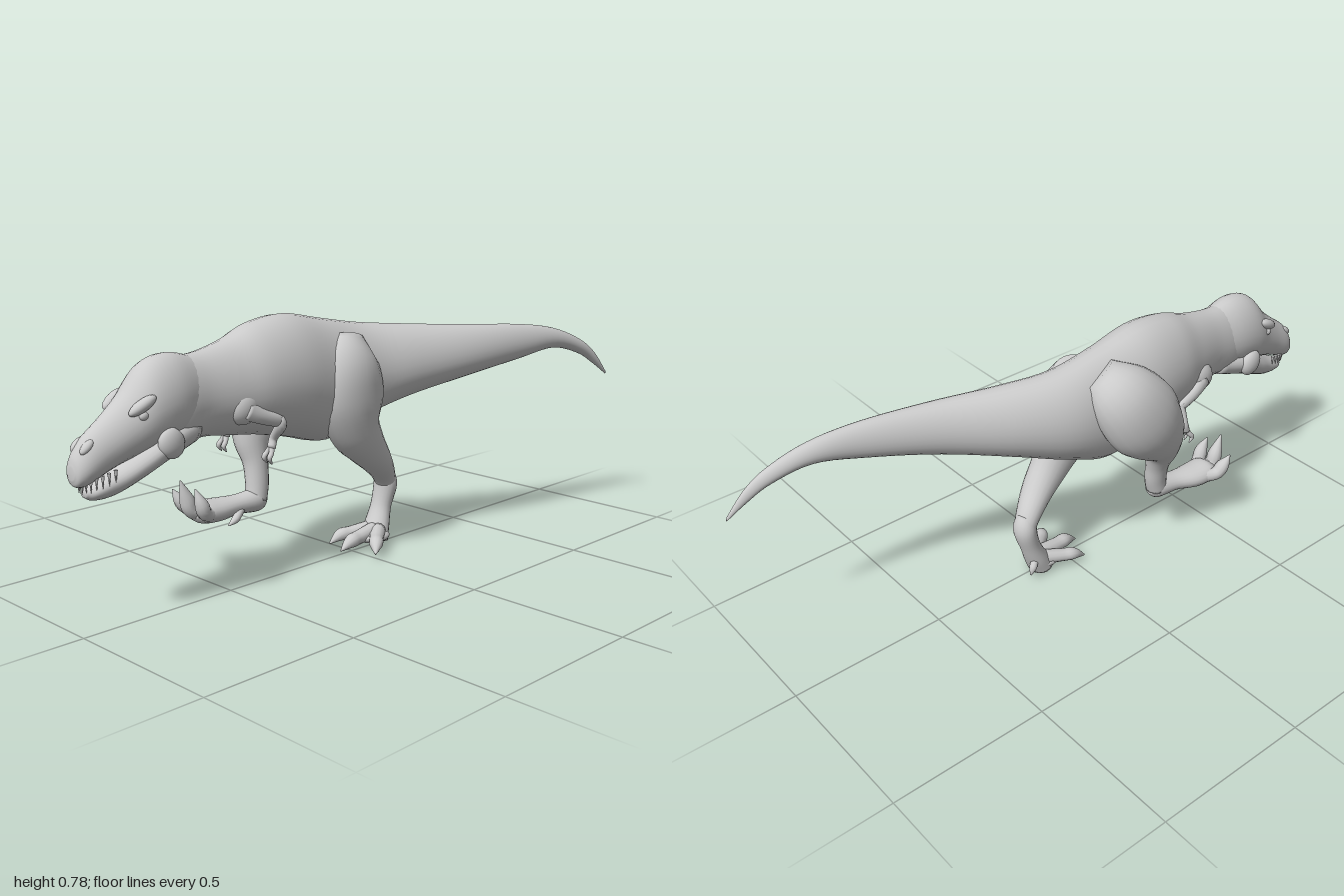
import * as THREE from 'three';

const V = (x, y, z) => new THREE.Vector3(x, y, z);
const material = new THREE.MeshStandardMaterial({ color: 0xcccccc, roughness: 0.8 });

// Smooth skin through oval sections [x, y, z, sideRadius, depthRadius].
// axis: fixed section normal (otherwise the path tangent); pear: widens the lower half.
function loft(rows, { steps = 5, sides = 20, axis = null, pear = 0 } = {}) {
  const centres = new THREE.CatmullRomCurve3(rows.map(r => V(r[0], r[1], r[2])), false, 'catmullrom');
  const radii = new THREE.CatmullRomCurve3(rows.map(r => V(r[3], r[4], 0)), false, 'catmullrom');
  const n = (rows.length - 1) * steps;
  const pos = [], index = [];
  for (let i = 0; i <= n; i++) {
    const c = centres.getPoint(i / n), r = radii.getPoint(i / n);
    const T = axis || centres.getTangent(i / n);
    const S = V(1, 0, 0).addScaledVector(T, -T.x).normalize();
    const U = T.clone().cross(S);
    for (let j = 0; j < sides; j++) {
      const a = (j / sides) * Math.PI * 2, s = Math.sin(a);
      const p = c.clone()
        .addScaledVector(S, Math.cos(a) * Math.max(r.x, 0.001) * (1 - pear * s))
        .addScaledVector(U, s * Math.max(r.y, 0.001));
      pos.push(p.x, p.y, p.z);
    }
  }
  for (let i = 0; i < n; i++) for (let j = 0; j < sides; j++) {
    const k = (j + 1) % sides, a = i * sides + j, b = i * sides + k;
    index.push(a, b, a + sides, b, b + sides, a + sides);
  }
  // end caps
  const first = centres.getPoint(0), last = centres.getPoint(1), m = pos.length / 3;
  pos.push(...first.toArray(), ...last.toArray());
  for (let j = 0; j < sides; j++) {
    const k = (j + 1) % sides;
    index.push(m, k, j, m + 1, n * sides + j, n * sides + k);
  }
  const g = new THREE.BufferGeometry();
  g.setAttribute('position', new THREE.Float32BufferAttribute(pos, 3));
  g.setIndex(index);
  g.computeVertexNormals();
  return g;
}

function add(parent, name, geometry) {
  const mesh = new THREE.Mesh(geometry, material);
  mesh.name = name;
  parent.add(mesh);
  return mesh;
}

// Lengthwise form from rows [z, x, top, bottom, halfWidth]
const along = (rows, pear, sides = 28) => loft(
  rows.map(([z, x, top, bot, w]) => [x, (top + bot) / 2, z, w, (top - bot) / 2]),
  { axis: V(0, 0, 1), pear, sides });

function blob(parent, name, [x, y, z], [sx, sy, sz], [rx, ry, rz] = [0, 0, 0]) {
  const mesh = add(parent, name, new THREE.SphereGeometry(1, 16, 12));
  mesh.position.set(x, y, z);
  mesh.scale.set(sx, sy, sz);
  mesh.rotation.set(rx, ry, rz);
}

// Toe or finger: a fleshy digit from a to b through mid, ending in a claw at tip
function digit(parent, name, a, mid, b, tip, r) {
  add(parent, name, loft([[...a, r, r], [...mid, r * 0.9, r * 0.85], [...b, r * 0.85, r * 0.8],
    [...tip, 0.002, 0.002]], { sides: 12, steps: 5 }));
}

function buildHead(parent) {
  const head = new THREE.Group();
  head.name = 'head';
  parent.add(head);
  const cx = -0.02;
  add(head, 'skull', along([
    [0.6, cx, 0.69, 0.5, 0.06], [0.69, cx, 0.71, 0.47, 0.083], [0.77, cx, 0.69, 0.455, 0.084],
    [0.84, cx, 0.615, 0.44, 0.068], [0.9, cx, 0.565, 0.42, 0.056], [0.96, cx, 0.52, 0.395, 0.047],
    [0.99, cx, 0.48, 0.395, 0.033], [1.0, cx, 0.45, 0.415, 0.015]], 0.12));
  add(head, 'lowerJaw', along([
    [0.62, cx, 0.54, 0.45, 0.06], [0.73, cx, 0.52, 0.415, 0.085], [0.81, cx, 0.47, 0.38, 0.07],
    [0.88, cx, 0.425, 0.353, 0.047], [0.94, cx, 0.393, 0.35, 0.032], [0.965, cx, 0.383, 0.362, 0.012]], -0.1));
  for (const s of [-1, 1]) {
    blob(head, 'browRidge', [cx + s * 0.064, 0.592, 0.815], [0.02, 0.017, 0.045], [0.5, s * -0.15, s * 0.4]);
    blob(head, 'eye', [cx + s * 0.068, 0.565, 0.815], [0.01, 0.012, 0.014]);
    blob(head, 'cheek', [cx + s * 0.075, 0.48, 0.735], [0.024, 0.045, 0.04], [0.5, 0, 0]);
    blob(head, 'nostrilRidge', [cx + s * 0.022, 0.5, 0.962], [0.014, 0.012, 0.025], [0.7, 0, 0]);
  }
  // upper teeth follow the curve of the lip
  for (let i = -7; i <= 7; i++) {
    const a = (i / 7) * 1.45;
    const tooth = add(head, 'tooth', new THREE.ConeGeometry(0.006, 0.036, 6));
    tooth.position.set(cx + Math.sin(a) * 0.042, 0.39 + (1 - Math.cos(a)) * 0.025, 0.88 + Math.cos(a) * 0.095);
    tooth.rotation.x = Math.PI;
  }
}

function buildLeftLeg(parent) {
  const leg = new THREE.Group();
  leg.name = 'leftLeg';
  parent.add(leg);
  add(leg, 'thighAndShin', loft([
    [0.0, 0.68, 0.03, 0.05, 0.06], [0.03, 0.6, 0.05, 0.08, 0.11], [0.042, 0.5, 0.05, 0.077, 0.125],
    [0.042, 0.41, 0.03, 0.065, 0.095], [0.035, 0.345, -0.02, 0.058, 0.07], [0.022, 0.28, -0.085, 0.052, 0.05],
    [0.0, 0.225, -0.14, 0.042, 0.038], [-0.01, 0.185, -0.165, 0.036, 0.032]]));
  add(leg, 'metatarsus', loft([
    [-0.005, 0.225, -0.15, 0.03, 0.03], [-0.01, 0.18, -0.165, 0.04, 0.036], [-0.013, 0.11, -0.148, 0.035, 0.032],
    [-0.008, 0.055, -0.125, 0.043, 0.036], [0.0, 0.012, -0.1, 0.05, 0.042]]));
  blob(leg, 'footPad', [0.005, 0.025, -0.085], [0.058, 0.022, 0.06]);
  digit(leg, 'innerToe', [-0.02, 0.04, -0.1], [-0.045, 0.032, -0.04], [-0.058, 0.028, -0.005], [-0.066, 0.006, 0.035], 0.024);
  digit(leg, 'middleToe', [0.005, 0.04, -0.1], [0.01, 0.032, -0.02], [0.014, 0.028, 0.02], [0.016, 0.008, 0.065], 0.026);
  digit(leg, 'outerToe', [0.02, 0.04, -0.1], [0.06, 0.032, -0.05], [0.088, 0.027, -0.02], [0.116, 0.008, 0.012], 0.025);
  digit(leg, 'spurToe', [-0.02, 0.07, -0.13], [-0.035, 0.05, -0.15], [-0.04, 0.035, -0.16], [-0.042, 0.015, -0.17], 0.014);
}

function buildRightLeg(parent) {
  const leg = new THREE.Group();
  leg.name = 'rightLeg';
  parent.add(leg);
  add(leg, 'thighAndShin', loft([
    [-0.09, 0.69, 0.06, 0.05, 0.06], [-0.145, 0.63, 0.1, 0.088, 0.11], [-0.175, 0.54, 0.165, 0.087, 0.128],
    [-0.178, 0.45, 0.235, 0.068, 0.098], [-0.163, 0.38, 0.27, 0.052, 0.064], [-0.142, 0.31, 0.275, 0.037, 0.042],
    [-0.13, 0.245, 0.28, 0.034, 0.038], [-0.125, 0.195, 0.29, 0.034, 0.034]]));
  add(leg, 'metatarsus', loft([
    [-0.122, 0.2, 0.262, 0.02, 0.02], [-0.125, 0.195, 0.29, 0.035, 0.036], [-0.135, 0.192, 0.36, 0.036, 0.03],
    [-0.147, 0.188, 0.43, 0.05, 0.035], [-0.152, 0.192, 0.485, 0.05, 0.034], [-0.152, 0.197, 0.51, 0.03, 0.018]]));
  digit(leg, 'outerToe', [-0.165, 0.19, 0.44], [-0.198, 0.195, 0.49], [-0.207, 0.222, 0.515], [-0.216, 0.258, 0.535], 0.025);
  digit(leg, 'middleToe', [-0.15, 0.185, 0.45], [-0.154, 0.2, 0.513], [-0.156, 0.24, 0.53], [-0.155, 0.3, 0.552], 0.027);
  digit(leg, 'innerToe', [-0.14, 0.185, 0.44], [-0.112, 0.195, 0.495], [-0.106, 0.23, 0.515], [-0.115, 0.278, 0.53], 0.025);
  digit(leg, 'spurToe', [-0.115, 0.18, 0.36], [-0.1, 0.168, 0.385], [-0.095, 0.16, 0.4], [-0.094, 0.148, 0.425], 0.014);
}

// Small arm, s = +1 for left; dx moves the hand outward
function buildArm(parent, s, x, dx) {
  const arm = new THREE.Group();
  arm.name = s > 0 ? 'leftArm' : 'rightArm';
  parent.add(arm);
  const X = d => x + s * d;
  blob(arm, 'shoulder', [X(-0.015), 0.535, 0.47], [0.035, 0.05, 0.055], [0.4, 0, 0]);
  add(arm, 'upperArm', loft([[X(0), 0.53, 0.475, 0.022, 0.03], [X(0.01), 0.505, 0.425, 0.021, 0.023],
    [X(0.016), 0.485, 0.37, 0.016, 0.018], [X(0.016), 0.475, 0.352, 0.008, 0.008]], { sides: 14 }));
  add(arm, 'forearm', loft([[X(0.016), 0.495, 0.365, 0.012, 0.012], [X(0.018), 0.47, 0.362, 0.017, 0.018],
    [X(0.01 + dx), 0.43, 0.36, 0.013, 0.013], [X(0.01 + dx), 0.4, 0.37, 0.014, 0.012]], { sides: 14 }));
  for (const d of [-1, 1]) digit(arm, 'finger', [X(0.01 + dx), 0.408, 0.368], [X(0.01 + dx + d * 0.009), 0.388, 0.378],
    [X(0.01 + dx + d * 0.012), 0.374, 0.388], [X(0.01 + dx + d * 0.011), 0.355, 0.378], 0.009);
}

export function createModel() {
  const model = new THREE.Group();
  model.name = 'dinosaur';
  // trunk, neck and tail in one skin
  add(model, 'bodyAndTail', along([
    [-1.0, 0.262, 0.475, 0.465, 0.003], [-0.94, 0.25, 0.548, 0.508, 0.012], [-0.87, 0.234, 0.6, 0.55, 0.02],
    [-0.75, 0.207, 0.648, 0.58, 0.029], [-0.6, 0.17, 0.672, 0.555, 0.041], [-0.4, 0.105, 0.685, 0.515, 0.065],
    [-0.2, 0.02, 0.7, 0.465, 0.094], [-0.05, -0.03, 0.715, 0.415, 0.108], [0.1, -0.04, 0.742, 0.365, 0.118],
    [0.25, -0.04, 0.77, 0.4, 0.13], [0.38, -0.035, 0.757, 0.43, 0.12], [0.48, -0.03, 0.722, 0.445, 0.096],
    [0.58, -0.025, 0.7, 0.458, 0.076], [0.68, -0.02, 0.69, 0.45, 0.072], [0.74, -0.02, 0.65, 0.46, 0.05]], 0.1));
  buildHead(model);
  buildLeftLeg(model);
  buildRightLeg(model);
  buildArm(model, 1, 0.055, -0.025);
  buildArm(model, -1, -0.125, 0.03);
  return model;
}
